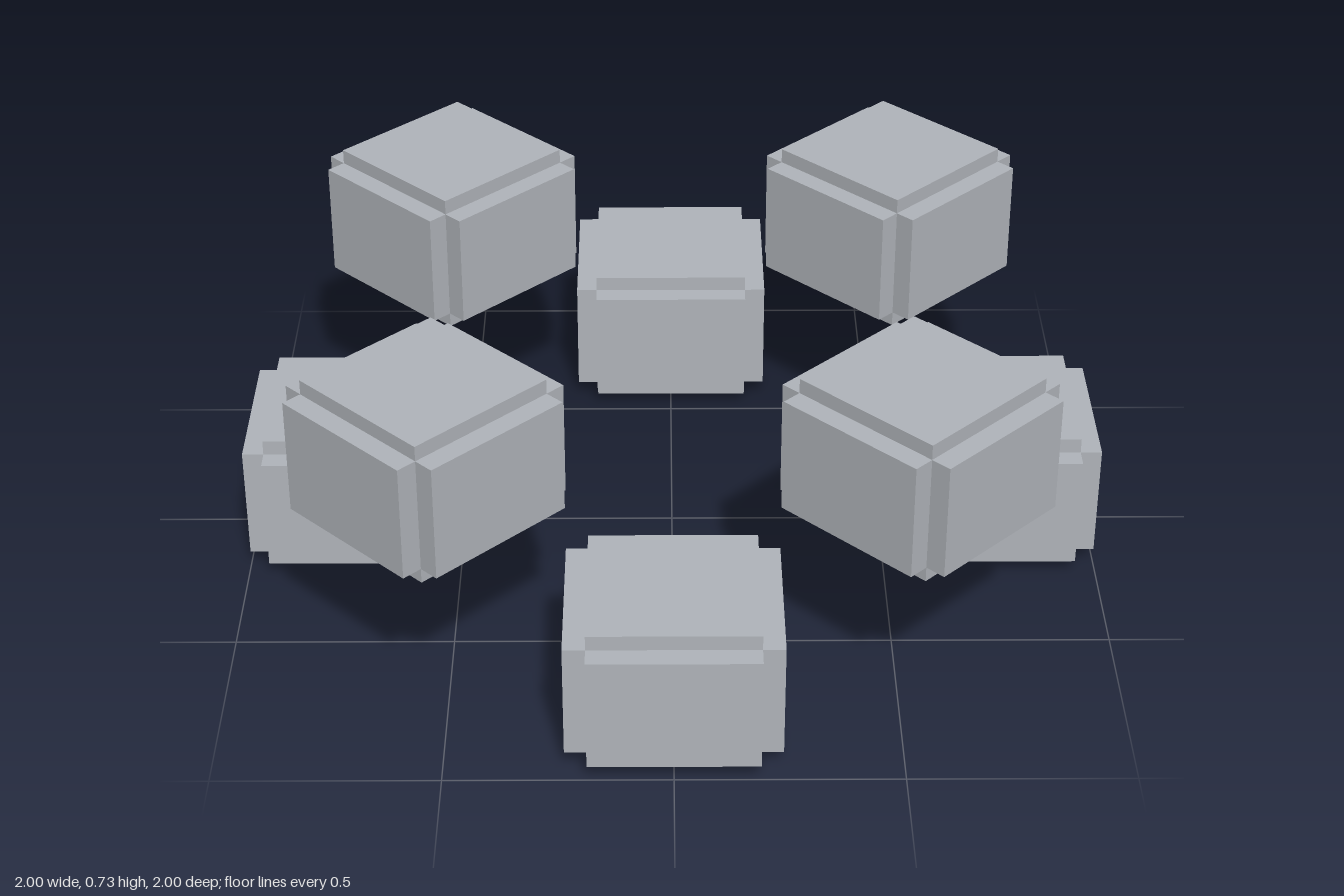
import * as THREE from 'three';

const RING_RADIUS = 0.7622;
const CORE = [0.376, 0.274, 0.376]; // inner width, height, depth
const OUTER = [0.4755, 0.345, 0.4755]; // reach of the raised faces

export function createModel() {
  const model = new THREE.Group();
  model.name = 'blockRing';
  const stone = new THREE.MeshStandardMaterial({ color: 0xb0b4ba });
  stone.name = 'stone grey';

  // One crossing slab per axis leaves a stepped notch along every block edge
  const slabs = ['sideFaces', 'topAndBottomFaces', 'frontAndBackFaces'].map((name, axis) => {
    const size = CORE.map((s, i) => (i === axis ? OUTER[i] : s));
    return { name, geometry: new THREE.BoxGeometry(...size) };
  });

  // Eight blocks around the ring, alternating between the low and high tiers
  for (let i = 0; i < 8; i++) {
    const angle = (i * Math.PI) / 4;
    const high = i % 2 === 1;
    const block = new THREE.Group();
    block.name = high ? 'upperBlock' : 'lowerBlock';
    for (const { name, geometry } of slabs) {
      const mesh = new THREE.Mesh(geometry, stone);
      mesh.name = name;
      block.add(mesh);
    }
    block.position.set(
      Math.sin(angle) * RING_RADIUS,
      high ? 0.555 : OUTER[1] / 2,
      Math.cos(angle) * RING_RADIUS
    );
    block.rotation.y = angle;
    model.add(block);
  }
  return model;
}
